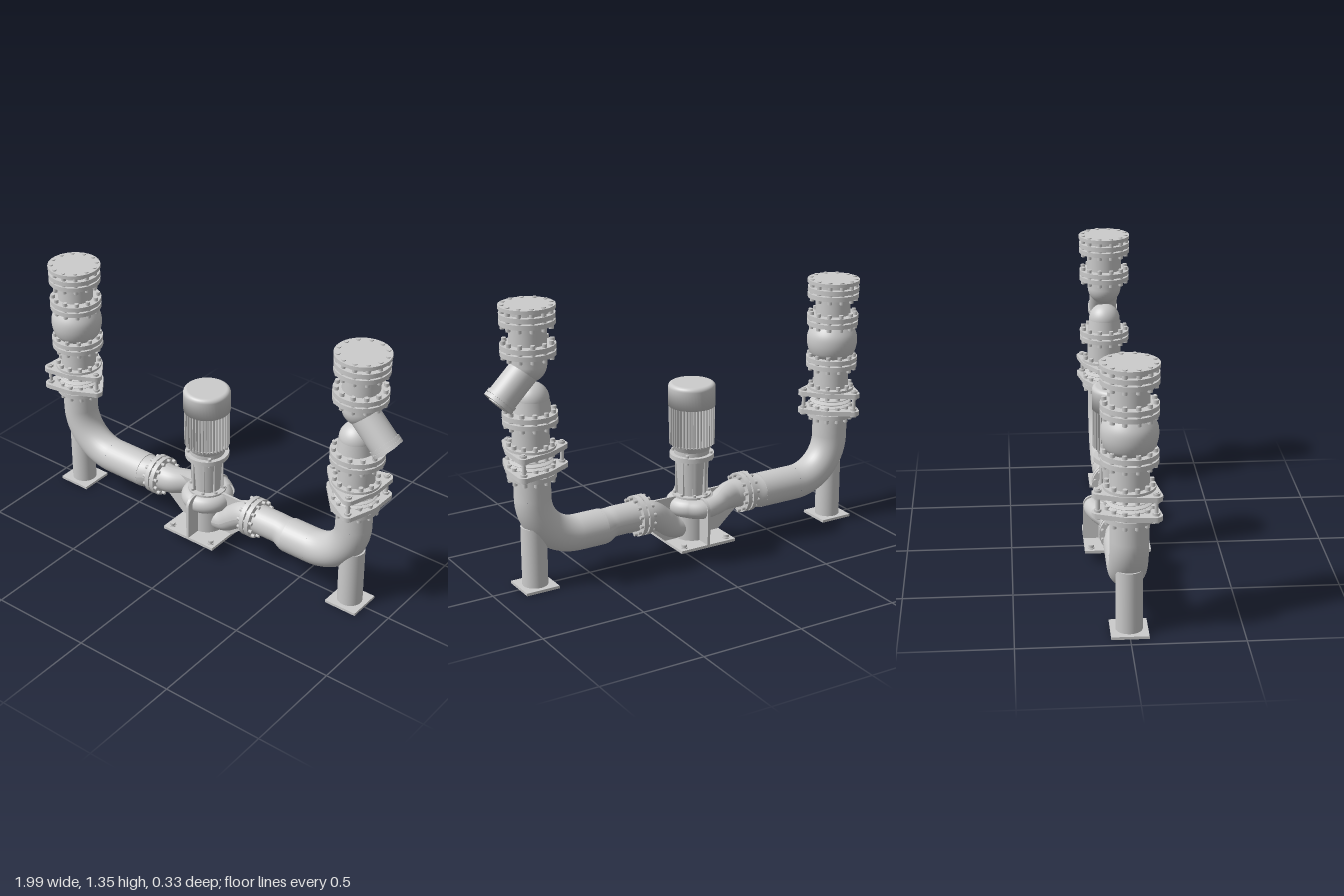
import * as THREE from 'three';
import { mergeGeometries } from 'three/addons/utils/BufferGeometryUtils.js';

const mat = new THREE.MeshStandardMaterial({ color: 0xcccccc });
const matDouble = new THREE.MeshStandardMaterial({ color: 0xcccccc, side: THREE.DoubleSide });
const V = (x, y, z = 0) => new THREE.Vector3(x, y, z);

function add(parent, name, geo, m = mat) {
  const mesh = new THREE.Mesh(geo, m);
  mesh.name = name;
  parent.add(mesh);
  return mesh;
}

function group(parent, name, x = 0, y = 0, z = 0) {
  const g = new THREE.Group();
  g.name = name;
  g.position.set(x, y, z);
  parent.add(g);
  return g;
}

// Upright cylinder between two heights
function column(parent, name, r, y0, y1, rTop = r, seg = 40) {
  return add(parent, name, new THREE.CylinderGeometry(rTop, r, y1 - y0, seg).translate(0, (y0 + y1) / 2, 0));
}

function box(parent, name, w, h, d, x, y, z) {
  return add(parent, name, new THREE.BoxGeometry(w, h, d).translate(x, y, z));
}

// Ring of hexagonal bolts between two heights
function boltRing(parent, radius, y0, y1, count = 12, r = 0.011) {
  const parts = [];
  for (let i = 0; i < count; i++) {
    const a = ((i + 0.5) / count) * Math.PI * 2;
    parts.push(new THREE.CylinderGeometry(r, r, y1 - y0, 6)
      .translate(radius * Math.cos(a), (y0 + y1) / 2, radius * Math.sin(a)));
  }
  return add(parent, 'bolts', mergeGeometries(parts));
}

// Two bolted discs with a gasket between, centred on the group origin
function flangePair(parent, name, y, r = 0.125) {
  const g = group(parent, name, 0, y);
  column(g, 'lowerDisc', r, -0.026, -0.004);
  column(g, 'upperDisc', r, 0.004, 0.026);
  column(g, 'gasket', r * 0.82, -0.006, 0.006);
  boltRing(g, r * 0.88, -0.043, 0.043, 12, r * 0.09);
  return g;
}

// Tube along a curve with a radius that varies by rule
function taperTube(parent, name, points, radiusAt, steps = 40) {
  const curve = new THREE.CatmullRomCurve3(points);
  const seg = 32;
  const geo = new THREE.TubeGeometry(curve, steps, 1, seg);
  const pos = geo.attributes.position;
  const p = V(0, 0);
  for (let i = 0; i < pos.count; i++) {
    const t = Math.floor(i / (seg + 1)) / steps;
    const c = curve.getPointAt(t);
    p.fromBufferAttribute(pos, i).sub(c).multiplyScalar(radiusAt(t)).add(c);
    pos.setXYZ(i, p.x, p.y, p.z);
  }
  geo.computeVertexNormals();
  return add(parent, name, geo, matDouble);
}

// Round plate with three rounded lugs
function luggedPlate(parent, y, angle) {
  const R = 0.118, r = 0.03, d = 0.14, phi = Math.acos((R - r) / d);
  const s = new THREE.Shape();
  for (let i = 0; i < 3; i++) {
    const a = angle + (i * Math.PI * 2) / 3;
    s.absarc(d * Math.cos(a), d * Math.sin(a), r, a - phi, a + phi, false);
    s.absarc(0, 0, R, a + phi, a + (Math.PI * 2) / 3 - phi, false);
  }
  const geo = new THREE.ExtrudeGeometry(s, { depth: 0.022, bevelEnabled: false, curveSegments: 10 });
  add(parent, 'luggedPlate', geo.rotateX(Math.PI / 2).translate(0, y + 0.022, 0));
}

// Support leg, elbow, horizontal pipe and reducer; the pipe runs toward +x
function pipeRun(parent, name, x, turn, bigEnd, flangeX) {
  const g = group(parent, name, x);
  g.rotation.y = turn;
  const R = 0.22, r = 0.085, yc = 0.22;
  box(g, 'footPlate', 0.166, 0.013, 0.166, 0, 0.0065, 0);
  column(g, 'supportLeg', 0.06, 0.01, 0.3);
  add(g, 'elbow', new THREE.TorusGeometry(R, r, 36, 32, Math.PI / 2).rotateZ(Math.PI).translate(R, yc + R, 0));
  column(g, 'riser', r, yc + R, 0.55);
  add(g, 'horizontalPipe', new THREE.CylinderGeometry(r, r, bigEnd - R, 40)
    .rotateZ(Math.PI / 2).translate((bigEnd + R) / 2, yc, 0));
  taperTube(g, 'reducer', [V(bigEnd - 0.01, yc), V(bigEnd, yc), V(bigEnd + 0.05, 0.231), V(bigEnd + 0.07, 0.232), V(flangeX, 0.232)],
    t => 0.085 - 0.013 * THREE.MathUtils.smoothstep(t * (flangeX - bigEnd), 0, 0.06));
  const f = flangePair(g, 'pipeFlange', 0, 0.098);
  f.rotation.z = Math.PI / 2;
  f.position.set(flangeX, 0.232, 0);
}

// Bellows joint with tie rods, then a short pipe and flange
function expansionJoint(parent, angle) {
  const g = group(parent, 'expansionJoint');
  column(g, 'lowerFlange', 0.113, 0.54, 0.562);
  boltRing(g, 0.1, 0.522, 0.605);
  luggedPlate(g, 0.568, angle);
  const pts = [];
  for (let i = 0; i <= 48; i++) pts.push(new THREE.Vector2(0.088 - 0.012 * Math.cos((i / 48) * Math.PI * 8), 0.585 + (i / 48) * 0.08));
  add(g, 'bellows', new THREE.LatheGeometry(pts, 40), matDouble);
  luggedPlate(g, 0.658, angle);
  column(g, 'upperFlange', 0.113, 0.676, 0.692);
  boltRing(g, 0.1, 0.642, 0.71);
  for (let i = 0; i < 3; i++) {
    const a = angle + (i * Math.PI * 2) / 3;
    const rod = group(g, 'tieRod', 0.143 * Math.cos(a), 0, 0.143 * Math.sin(a));
    column(rod, 'rod', 0.009, 0.555, 0.695, 0.009, 12);
    for (const y of [0.557, 0.59, 0.647, 0.68]) column(rod, 'nut', 0.016, y, y + 0.011, 0.016, 6);
  }
  column(g, 'shortPipe', 0.085, 0.68, 0.82);
  flangePair(g, 'jointFlange', 0.822);
}

// Outlet pipe closed by a bolted blind cover
function outlet(parent, y0, yTop) {
  const g = group(parent, 'outlet');
  flangePair(g, 'outletFlange', y0);
  column(g, 'outletPipe', 0.085, y0, yTop - 0.02);
  flangePair(g, 'coverFlange', yTop - 0.067);
  column(g, 'coverNeck', 0.1, yTop - 0.045, yTop - 0.02);
  column(g, 'blindCover', 0.127, yTop - 0.022, yTop - 0.005);
  boltRing(g, 0.11, yTop - 0.055, yTop, 12, 0.01);
}

function buildPump(root) {
  const g = group(root, 'pump', -0.06);
  // Base and stiffening plates
  box(g, 'basePlate', 0.3, 0.014, 0.312, 0, 0.064, 0);
  for (const sx of [-1, 1]) for (const sz of [-1, 1]) {
    const b = group(g, 'anchorBolt', sx * 0.118, 0, sz * 0.125);
    column(b, 'washer', 0.017, 0.07, 0.075, 0.017, 16);
    column(b, 'nut', 0.013, 0.075, 0.088, 0.013, 6);
  }
  const side = new THREE.Shape([[-0.26, 0.17], [-0.145, 0.068], [0.15, 0.068], [0.265, 0.17], [0.265, 0.288], [-0.26, 0.288]]
    .map(([x, y]) => new THREE.Vector2(x, y)));
  add(g, 'longWeb', new THREE.ExtrudeGeometry(side, { depth: 0.012, bevelEnabled: false }).translate(0, 0, -0.006));
  const cross = new THREE.Shape();
  cross.moveTo(-0.157, 0.068).lineTo(0.157, 0.068).lineTo(0.157, 0.24);
  cross.absarc(0.109, 0.242, 0.048, 0, Math.PI / 2, false);
  cross.absarc(-0.109, 0.242, 0.048, Math.PI / 2, Math.PI, false);
  add(g, 'crossWeb', new THREE.ExtrudeGeometry(cross, { depth: 0.014, bevelEnabled: false })
    .translate(0, 0, -0.007).rotateY(Math.PI / 2));
  // Casing with its suction and discharge branches
  column(g, 'casing', 0.085, 0.07, 0.27);
  add(g, 'volute', new THREE.TorusGeometry(0.08, 0.047, 24, 48).rotateX(Math.PI / 2).translate(0, 0.237, 0));
  taperTube(g, 'dischargeBranch', [V(-0.29, 0.232), V(-0.22, 0.232, -0.002), V(-0.14, 0.235, -0.045), V(-0.075, 0.237, -0.093), V(0, 0.237, -0.108), V(0.06, 0.237, -0.07)],
    t => 0.07 - 0.025 * THREE.MathUtils.smoothstep(t, 0.05, 0.7));
  taperTube(g, 'suctionBranch', [V(0.29, 0.232), V(0.23, 0.225), V(0.17, 0.185), V(0.11, 0.14), V(0.03, 0.125)],
    t => 0.07 - 0.018 * t);
  column(g, 'casingCover', 0.093, 0.268, 0.292);
  boltRing(g, 0.082, 0.285, 0.303, 8, 0.008);
  // Lantern
  column(g, 'lantern', 0.066, 0.29, 0.475, 0.078);
  for (let i = 0; i < 4; i++) {
    const rib = box(g, 'lanternRib', 0.172, 0.185, 0.012, 0, 0.383, 0);
    rib.rotation.y = Math.PI / 8 + (i * Math.PI) / 4;
    rib.scale.x = 0.92;
  }
  column(g, 'motorFlange', 0.106, 0.472, 0.495);
  boltRing(g, 0.092, 0.46, 0.507, 4, 0.009);
  column(g, 'motorNeck', 0.085, 0.495, 0.52);
  column(g, 'motorFoot', 0.086, 0.515, 0.545, 0.1);
  // Finned motor with rounded fan cover
  column(g, 'motorCore', 0.093, 0.54, 0.74);
  const fins = [];
  for (let i = 0; i < 40; i++) fins.push(new THREE.BoxGeometry(0.018, 0.19, 0.005)
    .translate(0.1, 0.638, 0).rotateY((i / 40) * Math.PI * 2));
  add(g, 'coolingFins', mergeGeometries(fins));
  const cap = new THREE.Shape();
  cap.moveTo(0, 0.732).lineTo(0.112, 0.732).lineTo(0.112, 0.822);
  cap.absarc(0.092, 0.823, 0.02, 0, Math.PI / 2, false).lineTo(0, 0.843);
  add(g, 'fanCover', new THREE.LatheGeometry(cap.getPoints(8), 48), matDouble);
}

export function createModel() {
  const root = new THREE.Group();
  root.name = 'pumpUnit';
  const leftX = 0.785, rightX = -0.87;
  pipeRun(root, 'rightPipeRun', rightX, 0, 0.425, 0.518);
  pipeRun(root, 'leftPipeRun', leftX, Math.PI, 0.35, 0.555);
  buildPump(root);

  // Stack with the globe shaped check valve
  const a = group(root, 'checkValveStack', rightX);
  expansionJoint(a, 0.22);
  const profile = [[0.09, 0.845], [0.108, 0.865], [0.12, 0.9], [0.123, 0.935], [0.118, 0.965], [0.103, 0.995], [0.086, 1.02]];
  const curve = new THREE.SplineCurve(profile.map(([x, y]) => new THREE.Vector2(x, y)));
  add(a, 'valveBody', new THREE.LatheGeometry(curve.getPoints(24), 48), matDouble);
  outlet(a, 1.035, 1.24);

  // Stack with the angled strainer
  const b = group(root, 'strainerStack', leftX);
  expansionJoint(b, 1.22);
  const inlet = group(b, 'strainerInlet', -0.012);
  column(inlet, 'inletBody', 0.085, 0.84, 0.905, 0.078);
  add(inlet, 'inletDome', new THREE.SphereGeometry(0.078, 40, 24).translate(0, 0.905, 0));
  add(b, 'outletBowl', new THREE.SphereGeometry(0.083, 40, 24).translate(0, 1.068, 0));
  column(b, 'outletNeck', 0.083, 1.068, 1.13);
  const branch = group(b, 'strainerBranch', 0, 1.062);
  branch.rotation.z = -Math.PI * 0.75;
  column(branch, 'branchBody', 0.07, 0, 0.19);
  column(branch, 'branchCollar', 0.075, 0.185, 0.2);
  column(branch, 'branchCover', 0.075, 0.204, 0.22);
  column(branch, 'coverSeat', 0.066, 0.19, 0.21);
  column(branch, 'coverPlug', 0.045, 0.21, 0.225);
  outlet(b, 1.138, 1.345);
  return root;
}
